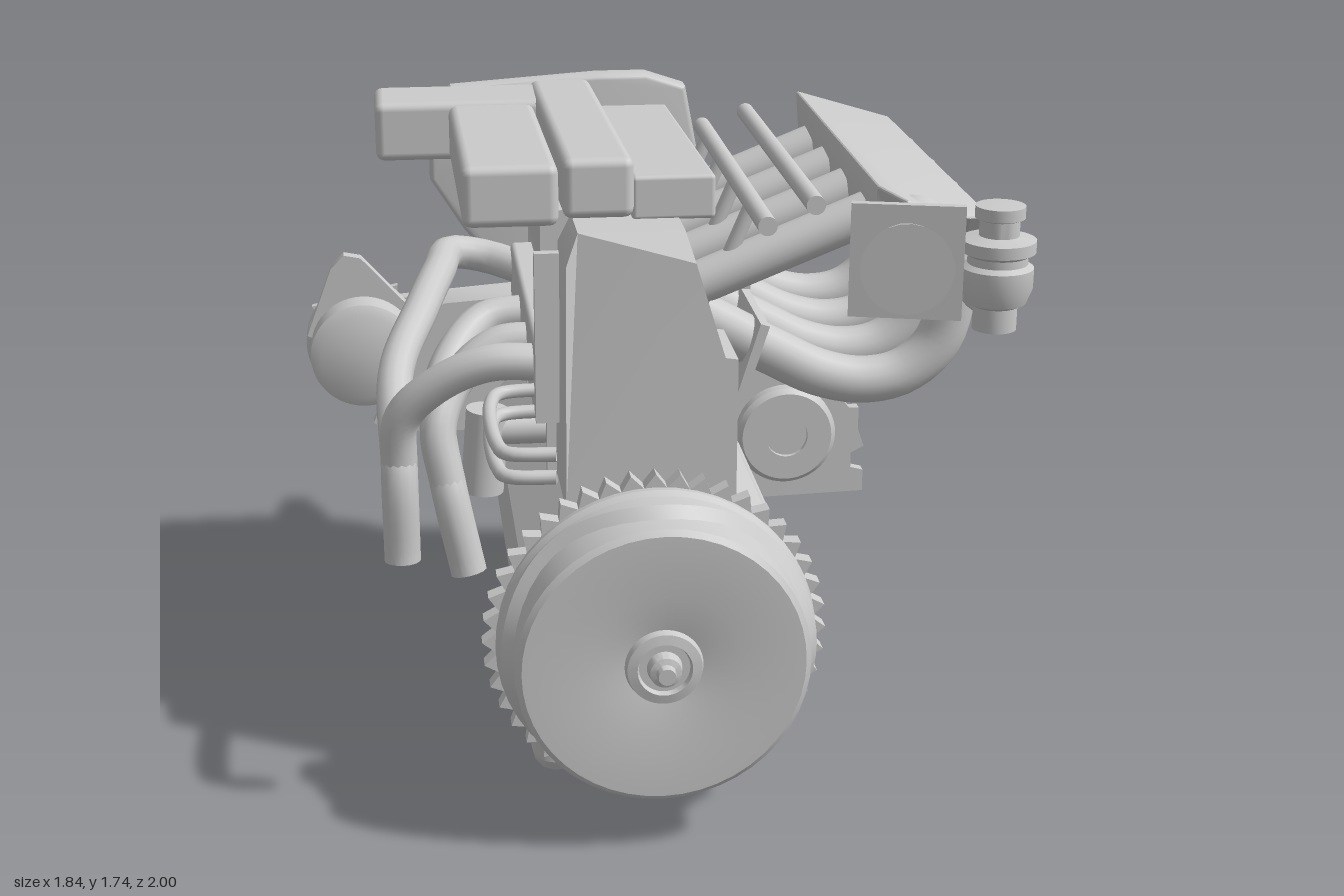
import * as THREE from 'three';
import { RoundedBoxGeometry } from 'three/addons/geometries/RoundedBoxGeometry.js';
import { toCreasedNormals } from 'three/addons/utils/BufferGeometryUtils.js';

const mat = new THREE.MeshStandardMaterial({ color: 0xcccccc, side: THREE.DoubleSide });
const V = (p) => new THREE.Vector3(...p);
const PORTS = [0.36, 0.1, -0.16, -0.425];

export function createModel() {
  const model = new THREE.Group();
  const add = (name, geo) => {
    const m = new THREE.Mesh(geo, mat);
    m.name = name;
    model.add(m);
    return m;
  };
  // move every vertex by a rule
  const warp = (geo, rule) => {
    const p = geo.attributes.position;
    for (let i = 0; i < p.count; i++) p.setXYZ(i, ...rule(p.getX(i), p.getY(i), p.getZ(i)));
    return toCreasedNormals(geo, 0.5);
  };
  // box given by its limits
  const box = (name, [x0, x1], [y0, y1], [z0, z1], r = 0) => {
    const s = [x1 - x0, y1 - y0, z1 - z0];
    const m = add(name, r ? new RoundedBoxGeometry(...s, 2, r) : new THREE.BoxGeometry(...s));
    m.position.set((x0 + x1) / 2, (y0 + y1) / 2, (z0 + z1) / 2);
    return m;
  };
  const extrude = (shape, depth, b) => {
    const g = new THREE.ExtrudeGeometry(shape, { depth: depth - 2 * b, bevelEnabled: b > 0, bevelSize: b,
      bevelThickness: b, bevelOffset: -b, bevelSegments: 3, curveSegments: 24 });
    return toCreasedNormals(g.translate(0, 0, b), 0.6);
  };
  const poly = (pts) => new THREE.Shape(pts.map((p) => new THREE.Vector2(...p)));
  // outline in x,y drawn out along z
  const plate = (name, shape, z0, z1, b = 0) =>
    add(name, extrude(Array.isArray(shape) ? poly(shape) : shape, z1 - z0, b).translate(0, 0, z0));
  const lathe = (profile, n = 48) => new THREE.LatheGeometry(profile.map((p) => new THREE.Vector2(...p)), n);
  // turned part on an axis along z, profile of [radius, z] from rear to front
  const turned = (name, x, y, profile) => {
    const m = add(name, toCreasedNormals(lathe(profile).rotateX(Math.PI / 2), 0.5));
    m.position.set(x, y, 0);
  };
  const tube = (name, pts, r) => add(name, new THREE.TubeGeometry(new THREE.CatmullRomCurve3(pts.map(V)), 36, r, 14));
  // straight bar between two points
  const rod = (name, a, b, r0, r1 = r0) => {
    const d = V(b).sub(V(a));
    const m = add(name, new THREE.CylinderGeometry(r1, r0, d.length(), 24));
    m.position.copy(V(a)).addScaledVector(d, 0.5);
    m.quaternion.setFromUnitVectors(new THREE.Vector3(0, 1, 0), d.normalize());
  };
  const gear = (x, y, rIn, rOut, n) => poly(Array.from({ length: n * 2 }, (_, i) => {
    const a = (i * Math.PI) / n, r = i % 2 ? rIn : rOut;
    return [x + r * Math.cos(a), y + r * Math.sin(a)];
  }));
  // closed belt round two wheels [x, y, radius]
  const belt = (name, p, q, z0, z1) => {
    const dx = q[0] - p[0], dy = q[1] - p[1], a = Math.atan2(dy, dx);
    const b = Math.acos((p[2] - q[2]) / Math.hypot(dx, dy));
    const loop = (path, t) => path.absarc(p[0], p[1], p[2] + t, a + b, a + 2 * Math.PI - b, false)
      .absarc(q[0], q[1], q[2] + t, a - b, a + b, false);
    const s = loop(new THREE.Shape(), 0.012);
    s.holes.push(loop(new THREE.Path(), 0));
    plate(name, s, z0, z1);
  };
  const bolts = (name, x, y, r, z) => {
    for (let i = 0; i < 3; i++) {
      const a = (i * 2 * Math.PI) / 3 + 0.5, px = x + r * Math.cos(a), py = y + r * Math.sin(a);
      rod(name, [px, py, z], [px, py, z - 0.02], 0.016);
    }
  };

  // block and head in one section, the head chamfered at the front
  const block = extrude(poly([[-0.36, 0.46], [0.29, 0.46], [0.29, 0.8], [0.2, 0.88], [0.2, 1.245], [0.167, 1.25],
    [0.09, 1.5], [0.07, 1.57], [-0.2, 1.57], [-0.235, 1.5], [-0.24, 0.85], [-0.36, 0.72]]), 1.34, 0).translate(0, 0, -0.67);
  add('engineBlock', warp(block, (x, y, z) => [x, y, y > 1.55 ? Math.min(z, 0.61) : z]));
  box('sidePanel', [0.25, 0.305], [0.7, 0.8], [-0.46, 0.58], 0.015);
  for (const z of [0.38, 0.055, -0.12, -0.29]) box('blockRib', [0.15, 0.222], [0.83, 1.14], [z - 0.015, z + 0.015]);
  for (const z of PORTS) box('exhaustRib', [-0.265, -0.2], [0.8, 1.1], [z - 0.015, z + 0.015]);

  // oil pan: side profile drawn out along x
  add('oilPan', extrude(poly([[0.61, 0.46], [0.605, 0.09], [0.57, 0.05], [0.25, 0.005], [-0.18, 0.035], [-0.24, 0.08],
    [-0.28, 0.22], [-0.35, 0.27], [-0.5, 0.3], [-0.58, 0.34], [-0.62, 0.4], [-0.62, 0.46]]), 0.59, 0.06)
    .rotateY(-Math.PI / 2).translate(0.26, 0, 0));
  box('panRail', [-0.34, 0.27], [0.435, 0.465], [-0.63, 0.62]);

  // cam cover blocks, sloping down to the rear
  box('camCoverLeft', [-0.05, 0.165], [1.55, 1.665], [-0.5, 0.49], 0.012).rotation.x = -0.03;
  box('camCoverCentre', [-0.23, -0.05], [1.57, 1.725], [-0.62, 0.55], 0.025).rotation.x = -0.03;
  box('camCoverRight', [-0.48, -0.235], [1.54, 1.7], [-0.44, 0.49], 0.025).rotation.x = -0.03;
  box('camCoverEnd', [-0.69, -0.2], [1.53, 1.7], [-0.605, -0.355], 0.025);
  box('headUpper', [-0.28, 0.05], [1.42, 1.58], [-0.62, 0.42]);

  // flywheel, ring gear and clutch cover with a wavy rim
  plate('ringGear', gear(-0.02, 0.53, 0.41, 0.447, 44), 0.71, 0.755);
  turned('flywheel', -0.02, 0.53, [[0, 0.66], [0.1, 0.66], [0.1, 0.705], [0.405, 0.705], [0.415, 0.78], [0.405, 0.8],
    [0.38, 0.81], [0.375, 0.94], [0.36, 0.953], [0.2, 0.953], [0.1, 0.935], [0.095, 0.955], [0.07, 0.96], [0.065, 0.945],
    [0.045, 0.945], [0.04, 0.975], [0.025, 0.98], [0.022, 1], [0, 1]]);
  const skirt = warp(lathe([[0.405, 0.79], [0.405, 0.83], [0.375, 0.86]], 72),
    (x, y, z) => [x, y > 0.8 ? y + 0.025 * Math.cos(4 * Math.atan2(z, x)) : y, z]);
  add('clutchCoverSkirt', skirt.rotateX(Math.PI / 2)).position.set(-0.02, 0.53, 0);

  // intake plenum: outline in x,z, top leaning outwards, underside drawn in
  const plenum = extrude(poly([[0.575, -0.61], [0.865, -0.61], [0.865, 0.48], [0.84, 0.57], [0.79, 0.63], [0.72, 0.66],
    [0.62, 0.66], [0.565, 0.56]]), 0.1, 0.01).rotateX(Math.PI / 2).translate(0, 1.57, 0);
  add('intakePlenum', warp(plenum, (x, y, z) => (y < 1.52
    ? [0.72 + (x - 0.72) * 0.9, y, Math.min(z, 0.48)] : [x, y + (0.865 - x) * 0.3, z])));

  // intake runners, flange and upper tubes
  for (const z of PORTS) {
    tube('intakeRunner', [[0.825, 1.46, z], [0.825, 1.3, z], [0.79, 1.17, z], [0.7, 1.09, z], [0.59, 1.07, z],
      [0.47, 1.095, z], [0.34, 1.16, z], [0.14, 1.27, z]], 0.064);
    rod('runnerFunnel', [0.82, 1.4, z], [0.82, 1.54, z], 0.064, 0.075);
    rod('intakeUpperTube', [0.1, 1.34, z], [0.59, 1.535, z], 0.058);
    rod('injector', [0.28, 1.57, z], [0.2, 1.38, z], 0.02);
  }
  box('runnerFlange', [0.255, 0.28], [1.02, 1.27], [-0.54, 0.46]).rotation.z = -0.3;
  rod('fuelRail', [0.28, 1.57, -0.55], [0.28, 1.57, 0.6], 0.025);
  rod('fuelRail', [0.41, 1.61, -0.55], [0.41, 1.61, 0.56], 0.025);
  box('runnerBrace', [0.14, 0.28], [1.335, 1.36], [-0.5, 0.36]);

  // throttle body on a tilted axis
  rod('throttleNeck', [0.66, 1.54, 0.58], [0.6, 1.52, 0.74], 0.1, 0.1);
  box('throttlePlate', [0.46, 0.74], [1.37, 1.66], [0.745, 0.77]).rotation.y = -0.25;
  rod('throttleMouth', [0.6, 1.52, 0.75], [0.58, 1.52, 0.85], 0.09, 0.115);

  // regulator canister and its pipe
  add('canister', toCreasedNormals(lathe([[0, 1.34], [0.055, 1.34], [0.055, 1.4], [0.075, 1.41], [0.09, 1.45], [0.09, 1.5],
    [0.075, 1.51], [0.075, 1.53], [0.093, 1.54], [0.093, 1.57], [0.05, 1.58], [0.05, 1.62], [0.062, 1.625], [0.062, 1.655],
    [0, 1.66]], 32), 0.5)).position.set(0.825, 0, 0.775);
  tube('canisterPipe', [[0.825, 1.38, 0.75], [0.81, 1.37, 0.62], [0.8, 1.4, 0.54], [0.8, 1.5, 0.51]], 0.024);

  // timing cover, lower plate and the arm leaning off its back
  plate('timingCover', [[-0.53, 1.39], [-0.43, 1.23], [-0.28, 1.05], [-0.3, 0.75], [-0.2, 0.46], [0.12, 0.46], [0.2, 0.9],
    [0.2, 1.1], [0.29, 1.45], [0.25, 1.66], [0.13, 1.7], [-0.02, 1.7], [-0.46, 1.67], [-0.53, 1.6]], -0.78, -0.69, 0.015);
  plate('lowerMountPlate', [[0.2, 0.5], [0.24, 0.95], [-0.2, 1.04], [-0.5, 1.02], [-0.62, 0.96], [-0.64, 0.8], [-0.58, 0.72],
    [-0.3, 0.6], [-0.2, 0.48]], -0.76, -0.62);
  const arm = plate('supportArm', [[-0.21, 1.2], [-0.14, 1.13], [0.0, 1.22], [0.15, 1.47], [0.15, 1.55], [0.06, 1.55]], -0.87, -0.77);
  warp(arm.geometry, (x, y, z) => [x, y, z - Math.max(0, y - 1.13) * 0.18]);
  rod('supportArmBoss', [0.1, 1.515, -0.85], [0.1, 1.515, -1], 0.038);

  // crank sprocket and idler pulley
  plate('crankSprocket', gear(-0.02, 0.48, 0.19, 0.22, 28), -0.93, -0.895);
  turned('crankPulley', -0.02, 0.48, [[0, -0.92], [0.05, -0.92], [0.05, -0.945], [0.11, -0.945], [0.19, -0.93], [0.16, -0.85],
    [0.15, -0.8], [0.165, -0.775], [0, -0.775]]);
  bolts('crankBolt', -0.02, 0.48, 0.075, -0.935);
  turned('idlerPulley', 0.04, 0.87, [[0, -0.875], [0.05, -0.875], [0.058, -0.86], [0.124, -0.86], [0.14, -0.885],
    [0.165, -0.885], [0.145, -0.85], [0.165, -0.82], [0.05, -0.81], [0.05, -0.73], [0, -0.73]]);
  bolts('idlerBolt', 0.04, 0.87, 0.082, -0.855);
  turned('tensionerBoss', -0.49, 0.86, [[0, -0.76], [0.04, -0.76], [0.045, -0.81], [0.078, -0.81], [0.085, -0.7], [0, -0.7]]);

  // pump on the left with its carrier
  plate('pumpCarrier', [[0.18, 0.36], [0.42, 0.38], [0.8, 0.39], [0.8, 0.46], [0.76, 0.47], [0.76, 0.52], [0.8, 0.54],
    [0.78, 0.6], [0.78, 0.67], [0.75, 0.67], [0.6, 0.85], [0.46, 0.87], [0.18, 0.97]], -0.54, -0.505);
  turned('pumpBody', 0.545, 0.6, [[0, -0.77], [0.06, -0.77], [0.06, -0.745], [0.15, -0.74], [0.17, -0.72], [0.17, -0.57],
    [0.155, -0.56], [0.155, -0.47], [0.14, -0.455], [0.065, -0.455], [0.065, -0.47], [0, -0.47]]);
  turned('pumpPulley', 0.545, 0.6, [[0, -0.835], [0.06, -0.835], [0.065, -0.8], [0.16, -0.8], [0.17, -0.812], [0.2, -0.812],
    [0.18, -0.795], [0.2, -0.775], [0.06, -0.77], [0.06, -0.74], [0, -0.74]]);
  bolts('pumpBolt', 0.545, 0.6, 0.095, -0.795);
  belt('pumpBelt', [-0.02, 0.48, 0.155], [0.545, 0.6, 0.182], -0.808, -0.782);

  // alternator on the right with fan, pulley and belt
  turned('alternatorBody', -0.75, 0.9, [[0, -0.79], [0.12, -0.79], [0.16, -0.77], [0.16, -0.7], [0.175, -0.69], [0.175, -0.63],
    [0.16, -0.62], [0.16, -0.5], [0.13, -0.485], [0, -0.485]]);
  plate('alternatorFan', gear(-0.75, 0.9, 0.14, 0.175, 14), -0.8, -0.775);
  turned('alternatorPulley', -0.75, 0.9, [[0, -0.9], [0.035, -0.9], [0.035, -0.89], [0.075, -0.89], [0.055, -0.855],
    [0.075, -0.82], [0.04, -0.81], [0.04, -0.78], [0, -0.78]]);
  plate('alternatorBracket', [[-0.92, 0.94], [-0.6, 0.8], [-0.57, 0.98], [-0.75, 1.18], [-0.8, 1.19], [-0.84, 1.15]], -0.63, -0.59);
  plate('alternatorFoot', [[-0.73, 0.64], [-0.69, 0.61], [-0.3, 0.6], [-0.3, 0.8], [-0.66, 0.8]], -0.66, -0.62);
  belt('alternatorBelt', [-0.75, 0.9, 0.057], [0.04, 0.87, 0.146], -0.878, -0.828);

  // exhaust flange and four pipes joining in two downpipes
  box('exhaustFlange', [-0.3, -0.22], [1.02, 1.23], [-0.55, 0.46], 0.015);
  box('frontSideBracket', [-0.3, -0.2], [1.02, 1.48], [0.44, 0.47]);
  const outer = [[-0.66, 0.85, 0.27], [-0.66, 0.57, 0.29]], inner = [[-0.53, 0.78, 0.26], [-0.48, 0.53, 0.3]];
  tube('exhaustPipe', [[-0.24, 1.15, -0.5], [-0.38, 1.18, -0.58], [-0.48, 1.2, -0.56], [-0.52, 1.19, -0.4], [-0.58, 1.14, -0.18],
    [-0.66, 1.03, 0.06], ...outer], 0.05);
  tube('exhaustPipe', [[-0.24, 1.13, -0.16], [-0.4, 1.12, -0.14], [-0.51, 1.04, 0.0], [-0.55, 0.93, 0.14], ...inner], 0.05);
  tube('exhaustPipe', [[-0.24, 1.13, 0.1], [-0.38, 1.12, 0.1], [-0.49, 1.04, 0.14], [-0.55, 0.93, 0.22], ...inner], 0.05);
  tube('exhaustPipe', [[-0.24, 1.15, 0.36], [-0.42, 1.15, 0.35], [-0.56, 1.08, 0.32], [-0.65, 0.98, 0.29], ...outer], 0.05);

  // oil filter hanging beside the block, and coolant lines
  rod('oilFilter', [-0.43, 0.7, 0.12], [-0.41, 0.94, 0.12], 0.06);
  rod('oilFilterMount', [-0.2, 0.88, 0.12], [-0.41, 0.88, 0.12], 0.045);
  for (const y of [1.03, 1.09]) {
    tube('coolantLine', [[-0.24, y, 0.4], [-0.39, y, 0.42], [-0.42, y, 0.5], [-0.42, y, 0.8], [-0.4, y, 0.86], [-0.28, y, 0.88]], 0.018);
  }
  return model;
}
